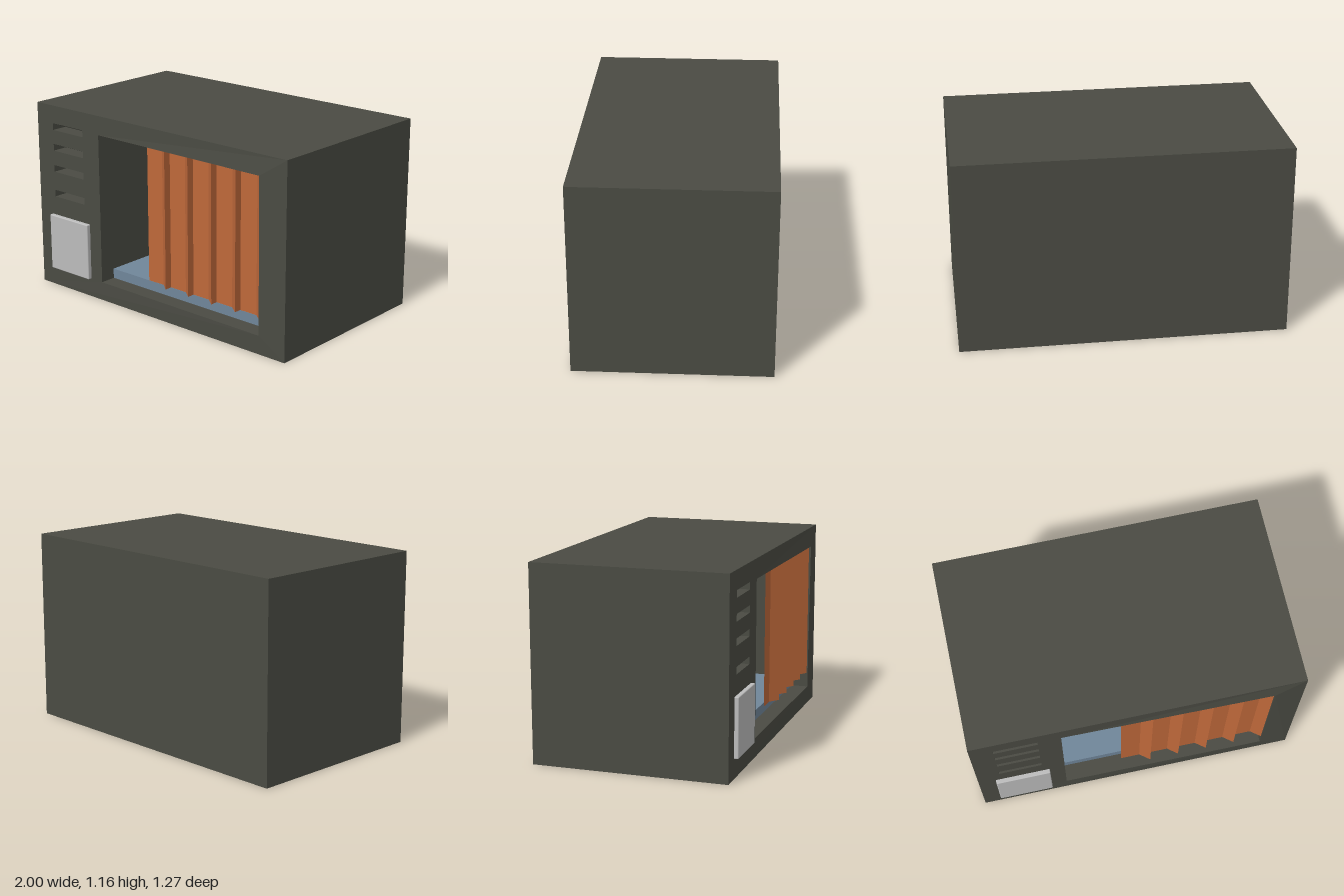
import * as THREE from 'three';
import { RoundedBoxGeometry } from 'three/addons/geometries/RoundedBoxGeometry.js';

const mat = (name, color, extra = {}) => {
  const m = new THREE.MeshStandardMaterial({ color, ...extra });
  m.name = name;
  return m;
};

const W = 1.938, H = 1.157, FRONT = 0.576, BACK_WALL = -0.55;
const OPEN = { l: -0.446, r: 0.79, b: 0.115, t: 1.04 };
const SLOT = { l: -0.836, r: -0.581, h: 0.042, depth: 0.1 };
const SLOT_Y = [1.025, 0.895, 0.761, 0.603];

// closed rectangular outline
function rect(Type, l, r, b, t) {
  const p = new Type();
  p.moveTo(l, b);
  p.lineTo(r, b);
  p.lineTo(r, t);
  p.lineTo(l, t);
  p.closePath();
  return p;
}

export function createModel() {
  const body = mat('dark olive grey', 0x4a4b43);
  const orange = mat('burnt orange', 0xbe683a, { side: THREE.DoubleSide });
  const blue = mat('slate blue', 0x70869a);
  const grey = mat('light grey', 0xbcbcbc);

  const model = new THREE.Group();
  model.name = 'cabinet';
  const add = (name, geometry, material, x = 0, y = 0, z = 0) => {
    const mesh = new THREE.Mesh(geometry, material);
    mesh.name = name;
    mesh.position.set(x, y, z);
    model.add(mesh);
    return mesh;
  };

  // Casing with the large opening and the vent slots
  const outline = rect(THREE.Shape, -W / 2, W / 2, 0, H);
  outline.holes.push(rect(THREE.Path, OPEN.l, OPEN.r, OPEN.b, OPEN.t));
  for (const y of SLOT_Y) {
    outline.holes.push(rect(THREE.Path, SLOT.l, SLOT.r, y - SLOT.h / 2, y + SLOT.h / 2));
  }
  const casing = new THREE.ExtrudeGeometry(outline, { depth: FRONT - BACK_WALL, bevelEnabled: false });
  casing.translate(0, 0, BACK_WALL);
  // the right edge of the opening swells forward slightly, more at the top
  const p = casing.attributes.position;
  for (let i = 0; i < p.count; i++) {
    if (Math.abs(p.getX(i) - OPEN.r) < 1e-4 && p.getZ(i) > FRONT - 1e-4) {
      p.setZ(i, FRONT + (p.getY(i) > 0.5 ? 0.013 : 0.006));
    }
  }
  casing.computeVertexNormals();
  add('casing', casing, body);

  const backDepth = FRONT + BACK_WALL;
  add('backPanel', new THREE.BoxGeometry(W, H, backDepth), body, 0, H / 2, BACK_WALL - backDepth / 2);

  // Sloping ceilings that close the vent slots
  for (const y of SLOT_Y) {
    const louver = new THREE.PlaneGeometry(SLOT.r - SLOT.l, Math.hypot(SLOT.h, SLOT.depth));
    louver.rotateX(Math.atan2(SLOT.depth, SLOT.h));
    add('ventLouver', louver, body, (SLOT.l + SLOT.r) / 2, y, FRONT - SLOT.depth / 2);
  }

  // Floor slab set back from the opening
  const slabFront = 0.476;
  add('floorSlab', new THREE.BoxGeometry(OPEN.r - OPEN.l - 0.004, 0.06, slabFront - BACK_WALL), blue,
    (OPEN.l + OPEN.r) / 2 - 0.002, OPEN.b + 0.03, (slabFront + BACK_WALL) / 2);

  // Folding curtain: flat panels, each ending in a forward pleat
  const profile = [];
  const left = -0.092, panel = (OPEN.r - left) / 5;
  for (let i = 0; i < 5; i++) {
    const x = left + i * panel;
    profile.push([x, 0.53], [x + panel - 0.06, 0.53], [x + panel, FRONT]);
  }
  const bottom = 0.205;
  const sheet = new THREE.PlaneGeometry(1, OPEN.t - bottom, profile.length - 1, 1);
  const s = sheet.attributes.position;
  for (let i = 0; i < s.count; i++) {
    const [x, z] = profile[i % profile.length];
    s.setX(i, x);
    s.setZ(i, z);
  }
  const curtain = sheet.toNonIndexed();
  curtain.computeVertexNormals();
  add('curtain', curtain, orange, 0, (OPEN.t + bottom) / 2, 0);

  // Raised control plate below the vents
  add('controlPlate', new RoundedBoxGeometry(0.328, 0.35, 0.05, 2, 0.006), grey, -0.702, 0.29, FRONT);

  // the whole cabinet stands at a slight angle
  model.rotation.y = 0.054;
  model.position.z = -0.01;
  const root = new THREE.Group();
  root.name = 'model';
  root.add(model);
  return root;
}
